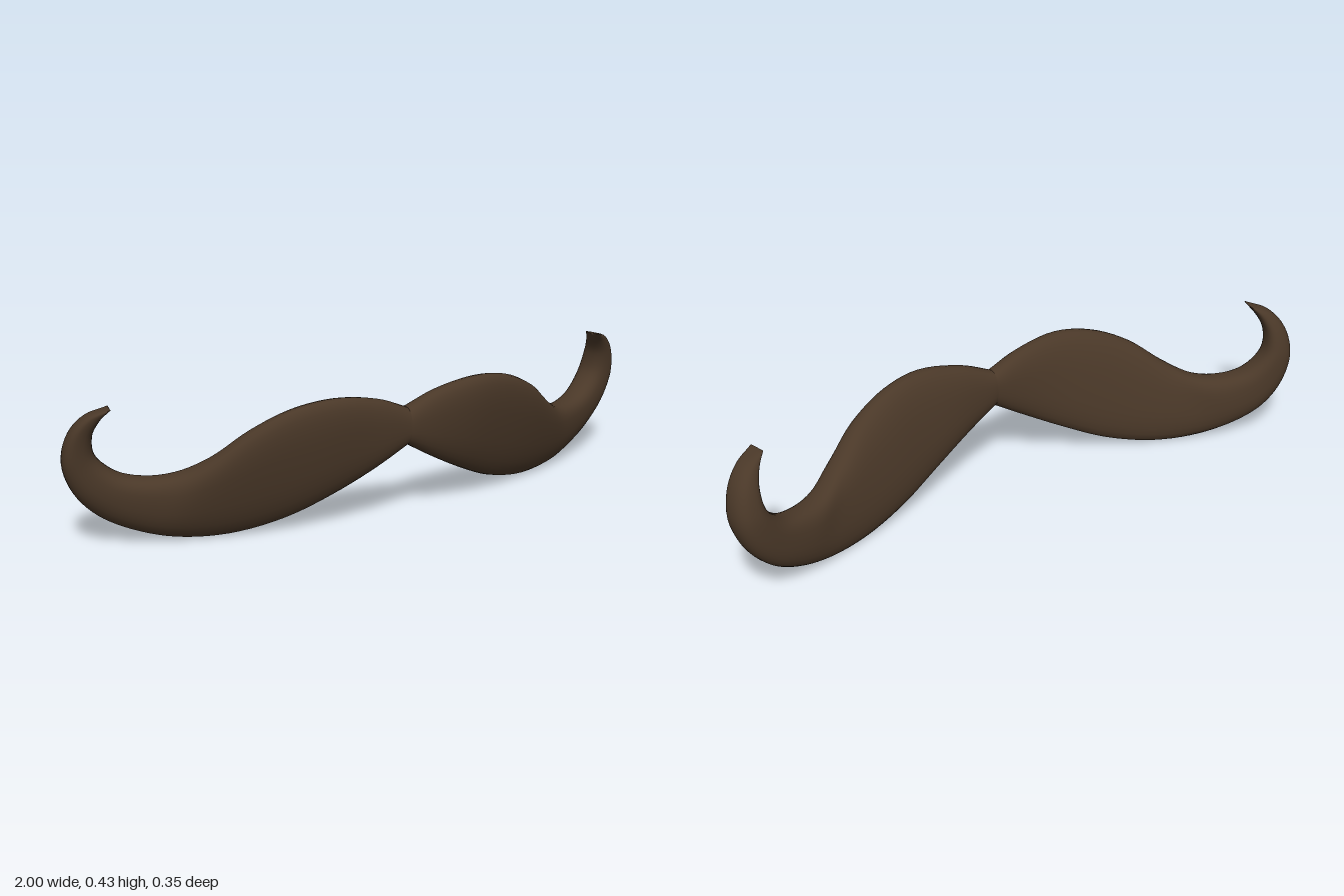
import * as THREE from 'three';

// Stations from centre to curled tip: upper edge xyz, lower edge xyz, half thickness
const STATIONS = [
  [0, 0.343, 0.132, 0, 0.226, 0.13, 0.038],
  [0.1, 0.383, 0.139, 0.1, 0.168, 0.118, 0.043],
  [0.25, 0.408, 0.142, 0.24, 0.095, 0.085, 0.049],
  [0.38, 0.39, 0.119, 0.38, 0.035, 0.042, 0.052],
  [0.5, 0.335, 0.083, 0.54, 0.001, -0.01, 0.054],
  [0.6, 0.257, 0.031, 0.69, 0.006, -0.06, 0.055],
  [0.68, 0.211, -0.025, 0.81, 0.041, -0.102, 0.054],
  [0.76, 0.2, -0.065, 0.9, 0.092, -0.128, 0.053],
  [0.84, 0.218, -0.099, 0.965, 0.165, -0.136, 0.052],
  [0.9, 0.275, -0.117, 0.998, 0.26, -0.13, 0.05],
  [0.911, 0.34, -0.105, 0.982, 0.35, -0.11, 0.043],
  [0.898, 0.385, -0.082, 0.938, 0.405, -0.084, 0.035],
  [0.874, 0.424, -0.054, 0.877, 0.428, -0.055, 0.027],
];
const STEPS = 60, SIDES = 28;

const soften = (v) => Math.sign(v) * Math.pow(Math.abs(v), 0.82);

// One half, lofted through rounded cross-sections; side is +1 or -1
function halfGeometry(side) {
  const vec = (k) => STATIONS.map((s) => new THREE.Vector3(s[k], s[k + 1], s[k + 2]));
  const upper = new THREE.CatmullRomCurve3(vec(0));
  const lower = new THREE.CatmullRomCurve3(vec(3));
  const thick = new THREE.CatmullRomCurve3(STATIONS.map((s) => new THREE.Vector3(s[6], 0, 0)));
  const pos = [], index = [];
  for (let i = 0; i <= STEPS; i++) {
    const t = i / STEPS;
    const u = upper.getPoint(t), l = lower.getPoint(t), h = thick.getPoint(t).x;
    const mid = u.clone().add(l).multiplyScalar(0.5);
    const half = u.clone().sub(l).multiplyScalar(0.5);
    // Thickness turns outward as the half sweeps back
    const out = new THREE.Vector3(0.25 * THREE.MathUtils.smoothstep(mid.x, 0, 0.7), 0, 1).normalize();
    for (let j = 0; j < SIDES; j++) {
      const a = (j / SIDES) * Math.PI * 2;
      const p = mid.clone()
        .addScaledVector(half, soften(Math.cos(a)))
        .addScaledVector(out, h * soften(Math.sin(a)));
      pos.push(side * p.x, p.y, p.z);
    }
  }
  for (let i = 0; i < STEPS; i++) {
    for (let j = 0; j < SIDES; j++) {
      const a = i * SIDES + j, b = i * SIDES + (j + 1) % SIDES;
      const c = a + SIDES, d = b + SIDES;
      if (side > 0) index.push(a, b, c, b, d, c);
      else index.push(a, c, b, b, c, d);
    }
  }
  // Blunt cap closing the tip
  const end = STEPS * SIDES;
  for (let j = 1; j < SIDES - 1; j++) {
    if (side > 0) index.push(end, end + j, end + j + 1);
    else index.push(end, end + j + 1, end + j);
  }
  const geo = new THREE.BufferGeometry();
  geo.setAttribute('position', new THREE.Float32BufferAttribute(pos, 3));
  geo.setIndex(index);
  geo.computeVertexNormals();
  return geo;
}

export function createModel() {
  const group = new THREE.Group();
  group.name = 'moustache';
  const brown = new THREE.MeshStandardMaterial({ color: 0x4a3828 });
  brown.name = 'dark brown';
  for (const side of [1, -1]) {
    const half = new THREE.Mesh(halfGeometry(side), brown);
    half.name = side > 0 ? 'leftHalf' : 'rightHalf';
    group.add(half);
  }
  return group;
}
